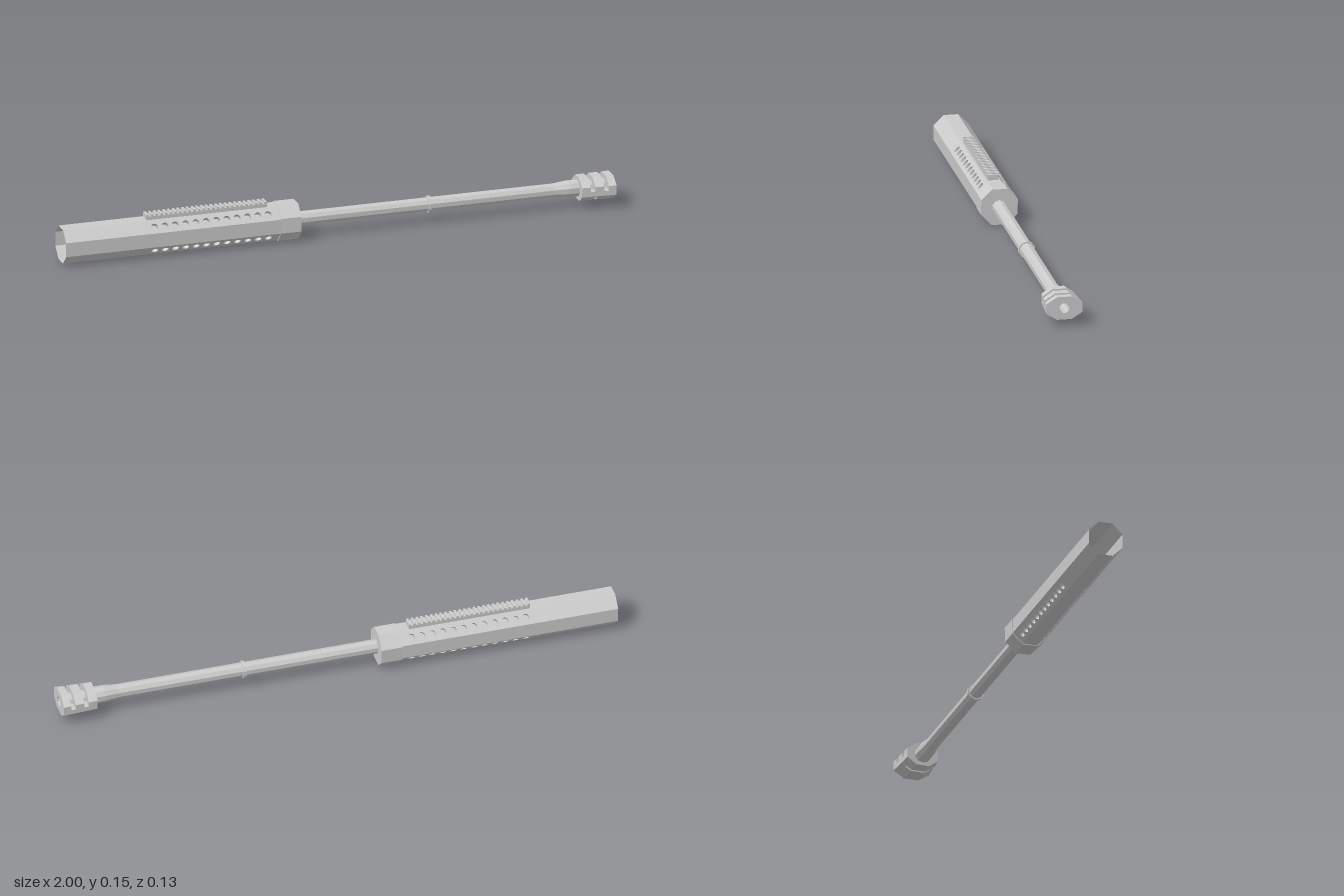
import * as THREE from 'three';

const AXIS_Y = 0.0655; // height of the bore axis
const BORE = 0.018;
const TAN = Math.tan(Math.PI / 8);
const grey = new THREE.MeshStandardMaterial({ color: 0xcccccc, flatShading: true });
const greyShell = new THREE.MeshStandardMaterial({ color: 0xcccccc, flatShading: true, side: THREE.DoubleSide });

function add(parent, name, geometry, material = grey) {
  const mesh = new THREE.Mesh(geometry, material);
  mesh.name = name;
  parent.add(mesh);
  return mesh;
}

// Faceted solid turned about the x axis, from [x, apothem] pairs
function turned(profile, sides) {
  const k = 1 / Math.cos(Math.PI / sides);
  const points = profile.map(([x, r]) => new THREE.Vector2(r * k, x));
  return new THREE.LatheGeometry(points, sides, Math.PI / sides).rotateZ(-Math.PI / 2);
}

// Eight-sided thin sleeve with rows of round recesses on its diagonal faces
function buildHandguard() {
  const group = new THREE.Group();
  group.name = 'handguard';
  const x0 = -1, x1 = -0.22, apothem = 0.0615, half = apothem * TAN;
  const holeR = 0.0125, depth = 0.015;
  const holeXs = Array.from({ length: 12 }, (_, i) => -0.672 + i * 0.0375);
  for (let k = 0; k < 8; k++) {
    const side = new THREE.Group();
    side.name = 'handguardSide';
    side.rotation.x = k * Math.PI / 4;
    group.add(side);
    const shape = new THREE.Shape([[x0, -half], [x1, -half], [x1, half], [x0, half]]
      .map(([x, y]) => new THREE.Vector2(x, y)));
    if (k % 2) {
      for (const x of holeXs) {
        shape.holes.push(new THREE.Path().absarc(x, 0, holeR, 0, Math.PI * 2, true));
        const wall = new THREE.CylinderGeometry(holeR, holeR, depth, 12, 1, true).rotateX(Math.PI / 2);
        add(side, 'ventWall', wall.translate(x, 0, apothem - depth / 2), greyShell);
        add(side, 'ventFloor', new THREE.CircleGeometry(holeR, 12).translate(x, 0, apothem - depth), greyShell);
      }
    }
    add(side, 'handguardPanel', new THREE.ShapeGeometry(shape, 6).translate(0, 0, apothem), greyShell);
  }
  return group;
}

// Rail with fine shallow teeth on top of the handguard
function buildRail() {
  const group = new THREE.Group();
  group.name = 'topRail';
  const x0 = -0.695, x1 = -0.257, teeth = 26, pitch = (x1 - x0) / (teeth - 0.5);
  add(group, 'railBase', new THREE.BoxGeometry(x1 - x0, 0.014, 0.037))
    .position.set((x0 + x1) / 2, 0.0675, 0);
  for (let i = 0; i < teeth; i++) {
    add(group, 'railTooth', new THREE.BoxGeometry(pitch / 2, 0.007, 0.037))
      .position.set(x0 + (i + 0.25) * pitch, 0.078, 0);
  }
  return group;
}

// Flattened octagonal muzzle brake, cut by slots across the top and one below
function buildMuzzleBrake() {
  const group = new THREE.Group();
  group.name = 'muzzleBrake';
  const w = 0.064, h = 0.041, core = 0.025;
  const lower = [[-w, -h * TAN], [-w * TAN, -h], [w * TAN, -h], [w, -h * TAN]];
  const upper = [[w, h * TAN], [w * TAN, h], [-w * TAN, h], [-w, h * TAN]];
  const coreArc = Array.from({ length: 7 }, (_, i) =>
    [core * Math.cos(i * Math.PI / 6), core * Math.sin(i * Math.PI / 6)]);
  const full = [...lower, ...upper];
  const slotted = [[-w, 0], ...lower, [w, 0], ...coreArc];
  const notched = [[-w, -h * TAN], [-w * 0.84, -core], [w * 0.84, -core], [w, -h * TAN], ...upper];
  const sections = [
    [0.877, 0.909, full, 'rearBlock'],
    [0.909, 0.925, slotted, 'rearSlot'],
    [0.925, 0.935, notched, 'lowerNotch'],
    [0.935, 0.957, full, 'middleBlock'],
    [0.957, 0.973, slotted, 'frontSlot'],
    [0.973, 1, full, 'frontBlock'],
  ];
  for (const [x0, x1, outline, name] of sections) {
    const shape = new THREE.Shape(outline.map(([z, y]) => new THREE.Vector2(z, y)));
    shape.holes.push(new THREE.Path().absarc(0, 0, BORE, 0, Math.PI * 2, true));
    const geometry = new THREE.ExtrudeGeometry(shape, { depth: x1 - x0, bevelEnabled: false, curveSegments: 5 })
      .rotateY(Math.PI / 2).translate(x0, 0, 0);
    // widen the outside slightly toward the muzzle, leaving the bore straight
    const p = geometry.attributes.position;
    for (let i = 0; i < p.count; i++) {
      if (Math.hypot(p.getY(i), p.getZ(i)) < core + 0.001) continue;
      p.setZ(i, p.getZ(i) * (0.88 + 0.12 * (p.getX(i) - 0.877) / 0.123));
    }
    geometry.computeVertexNormals();
    add(group, name, geometry);
  }
  return group;
}

export function createModel() {
  const model = new THREE.Group();
  model.name = 'barrelAssembly';
  const body = new THREE.Group();
  body.name = 'body';
  body.position.y = AXIS_Y;
  model.add(body);

  body.add(buildHandguard(), buildRail(), buildMuzzleBrake());

  // Collar closing the front of the handguard, turned a touch off square
  const collar = turned([[-0.22, 0.06], [-0.22, 0.0645], [-0.145, 0.0645], [-0.145, BORE + 0.002]], 8);
  add(body, 'collar', collar, greyShell).rotation.x = -0.035;

  // Barrel with a thin band halfway and a thicker seat for the brake
  add(body, 'barrel', turned([
    [-0.15, 0.024], [0.331, 0.024], [0.331, 0.029], [0.341, 0.029], [0.341, 0.024],
    [0.79, 0.024], [0.84, 0.029], [0.88, 0.029],
  ], 10));
  add(body, 'bore', turned([[0.88, BORE + 0.001], [-0.15, BORE + 0.001]], 10));
  return model;
}
